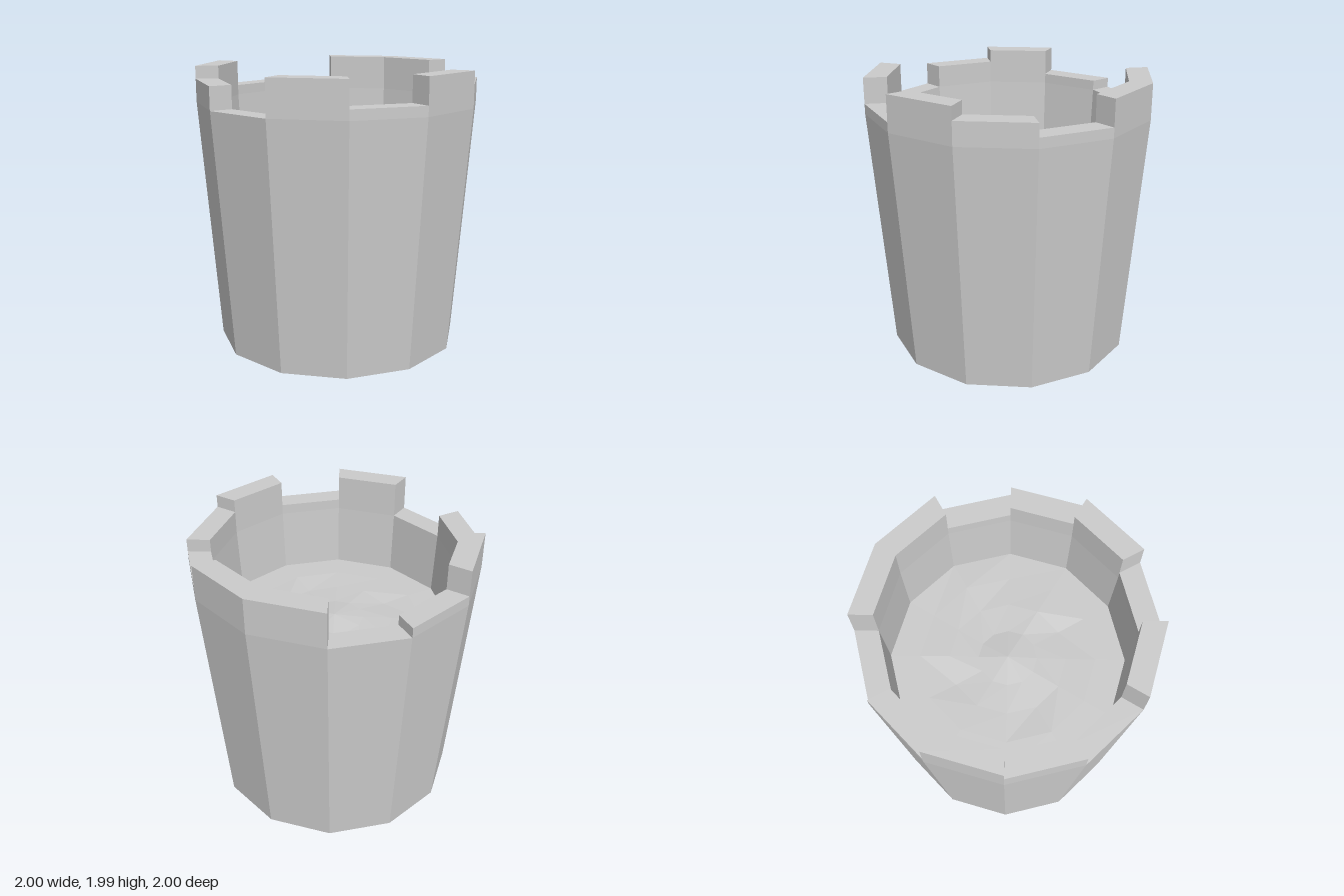
import * as THREE from 'three';

const SIDES = 12;
const RIM_Y = 1.74, OUTER = 1, INNER = 0.84;
const FLOOR_Y = 1.3, FLOOR_R = 0.82;

// Runs of battlement: first side (counted from the front towards +x), number of sides, top height
const MERLONS = [
  [0, 1, 1.99], [1, 1, 1.9], [2, 1, 1.81], [3, 2, 1.99], [6, 1, 1.81],
  [7, 1, 1.99], [8, 1, 1.9], [10, 1, 1.99], [11, 1, 1.81],
];

// Corner of the twelve-sided plan, as a shape point (shape y is -z)
function corner(i, r) {
  const a = (i / SIDES) * Math.PI * 2;
  return new THREE.Vector2(Math.sin(a) * r, -Math.cos(a) * r);
}

function merlonGeometry(start, count, top) {
  const pts = [];
  for (let i = 0; i <= count; i++) pts.push(corner(start + i, OUTER));
  for (let i = count; i >= 0; i--) pts.push(corner(start + i, INNER));
  const geo = new THREE.ExtrudeGeometry(new THREE.Shape(pts), { depth: top - RIM_Y, bevelEnabled: false });
  return geo.rotateX(-Math.PI / 2).translate(0, RIM_Y, 0);
}

// Slightly uneven floor, level at its edge
function floorGeometry() {
  const geo = new THREE.RingGeometry(0, FLOOR_R, SIDES, 4).rotateX(-Math.PI / 2);
  const p = geo.attributes.position;
  for (let i = 0; i < p.count; i++) {
    const x = p.getX(i), z = p.getZ(i);
    const fade = Math.max(0, 1 - Math.hypot(x, z) / FLOOR_R);
    p.setY(i, FLOOR_Y + 0.025 * fade * Math.sin(9 * x + 2) * Math.cos(8 * z));
  }
  return geo;
}

export function createModel() {
  const group = new THREE.Group();
  const stone = new THREE.MeshStandardMaterial({ color: 0xcccccc, flatShading: true });
  const add = (name, geo) => {
    const mesh = new THREE.Mesh(geo, stone);
    mesh.name = name;
    group.add(mesh);
  };

  // Base, flared outer wall, rim and inner wall
  const profile = [[0, 0], [0.87, 0], [OUTER, RIM_Y], [INNER, RIM_Y], [FLOOR_R, FLOOR_Y]]
    .map(([r, y]) => new THREE.Vector2(r, y));
  add('towerWall', new THREE.LatheGeometry(profile, SIDES));

  add('towerFloor', floorGeometry());

  // Broken battlements of differing height
  MERLONS.forEach(([start, count, top], i) => add(`merlon${i + 1}`, merlonGeometry(start, count, top)));

  return group;
}
